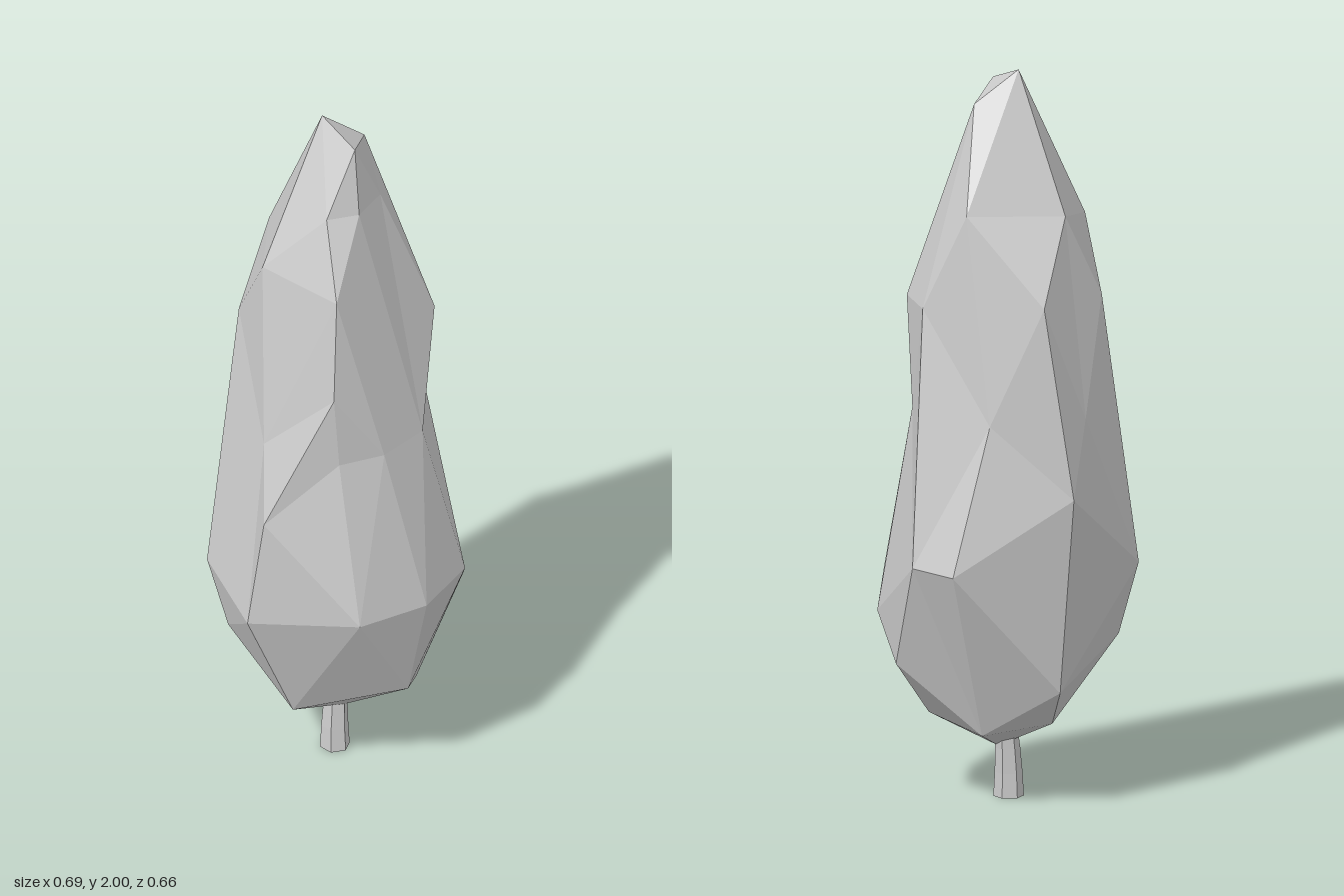
import * as THREE from 'three';
import { ConvexGeometry } from 'three/addons/geometries/ConvexGeometry.js';

// Corners of the faceted crown, from the tip down
const CROWN = [
  [-0.01, 2, -0.055], [0.1, 1.91, -0.005], [-0.018, 1.955, 0.077],
  [0.075, 1.77, 0.08], [-0.035, 1.77, 0.11], [-0.115, 1.77, 0.067],
  [0.19, 1.63, -0.1], [-0.055, 1.62, -0.21], [-0.205, 1.59, -0.085], [-0.165, 1.565, 0.155],
  [0.267, 1.37, -0.005], [0.215, 1.375, 0.145], [0.055, 1.39, -0.27], [-0.18, 1.39, -0.2], [-0.2, 1.28, 0.18],
  [0.235, 1.08, 0.09], [0.09, 1.07, 0.225], [-0.065, 1.07, 0.235], [-0.185, 1.07, 0.185],
  [-0.265, 1.08, -0.02], [-0.09, 1.07, -0.255], [0.18, 1.07, -0.195],
  [0.345, 0.68, -0.07], [0.3, 0.67, -0.195], [0, 0.87, -0.33], [-0.33, 0.88, 0.045], [-0.3, 0.64, -0.2],
  [-0.347, 0.55, 0], [-0.2, 0.6, 0.278], [0, 0.6, 0.33], [0.195, 0.605, 0.28], [0.28, 0.51, 0.19],
  [0, 0.3, 0.26], [0.14, 0.22, 0.15], [0.295, 0.385, 0.08], [0.14, 0.2, -0.1],
  [0, 0.33, -0.265], [-0.05, 0.22, -0.155], [-0.27, 0.44, -0.15], [-0.195, 0.21, 0.02],
  [0.005, 0.135, 0.02],
].map((p) => new THREE.Vector3(...p));

// Matching point on a unit sphere: height becomes latitude around a slightly leaning axis
function toSphere(p) {
  const t = (p.y - 0.135) / 1.865;
  const h = THREE.MathUtils.clamp(2 * t - 1, -1, 1);
  const angle = Math.atan2(p.z + 0.04 * t * t, p.x + 0.01 * t * t);
  const r = Math.sqrt(1 - h * h);
  return new THREE.Vector3(r * Math.cos(angle), h, r * Math.sin(angle));
}

// The corners are joined on the sphere, then moved back to their places
function crownGeometry() {
  const ball = CROWN.map(toSphere);
  const geometry = new ConvexGeometry(ball);
  const pos = geometry.attributes.position;
  const v = new THREE.Vector3();
  for (let i = 0; i < pos.count; i++) {
    v.fromBufferAttribute(pos, i);
    let best = 0;
    ball.forEach((b, k) => {
      if (b.distanceToSquared(v) < ball[best].distanceToSquared(v)) best = k;
    });
    pos.setXYZ(i, CROWN[best].x, CROWN[best].y, CROWN[best].z);
  }
  geometry.computeVertexNormals();
  return geometry;
}

// Short six-sided stem with a slight bend
function trunkGeometry() {
  const geometry = new THREE.CylinderGeometry(0.03, 0.041, 0.2, 6, 3);
  geometry.translate(0, 0.1, 0);
  const pos = geometry.attributes.position;
  for (let i = 0; i < pos.count; i++) {
    const t = pos.getY(i) / 0.2;
    pos.setX(i, pos.getX(i) - 0.012 + 0.012 * t * t);
    pos.setZ(i, pos.getZ(i) - 0.005 - 0.005 * t);
  }
  geometry.computeVertexNormals();
  return geometry;
}

export function createModel() {
  const group = new THREE.Group();
  group.name = 'tree';
  const material = new THREE.MeshStandardMaterial({ color: 0xcccccc, flatShading: true });
  const crown = new THREE.Mesh(crownGeometry(), material);
  crown.name = 'crown';
  const trunk = new THREE.Mesh(trunkGeometry(), material);
  trunk.name = 'trunk';
  group.add(crown, trunk);
  return group;
}
